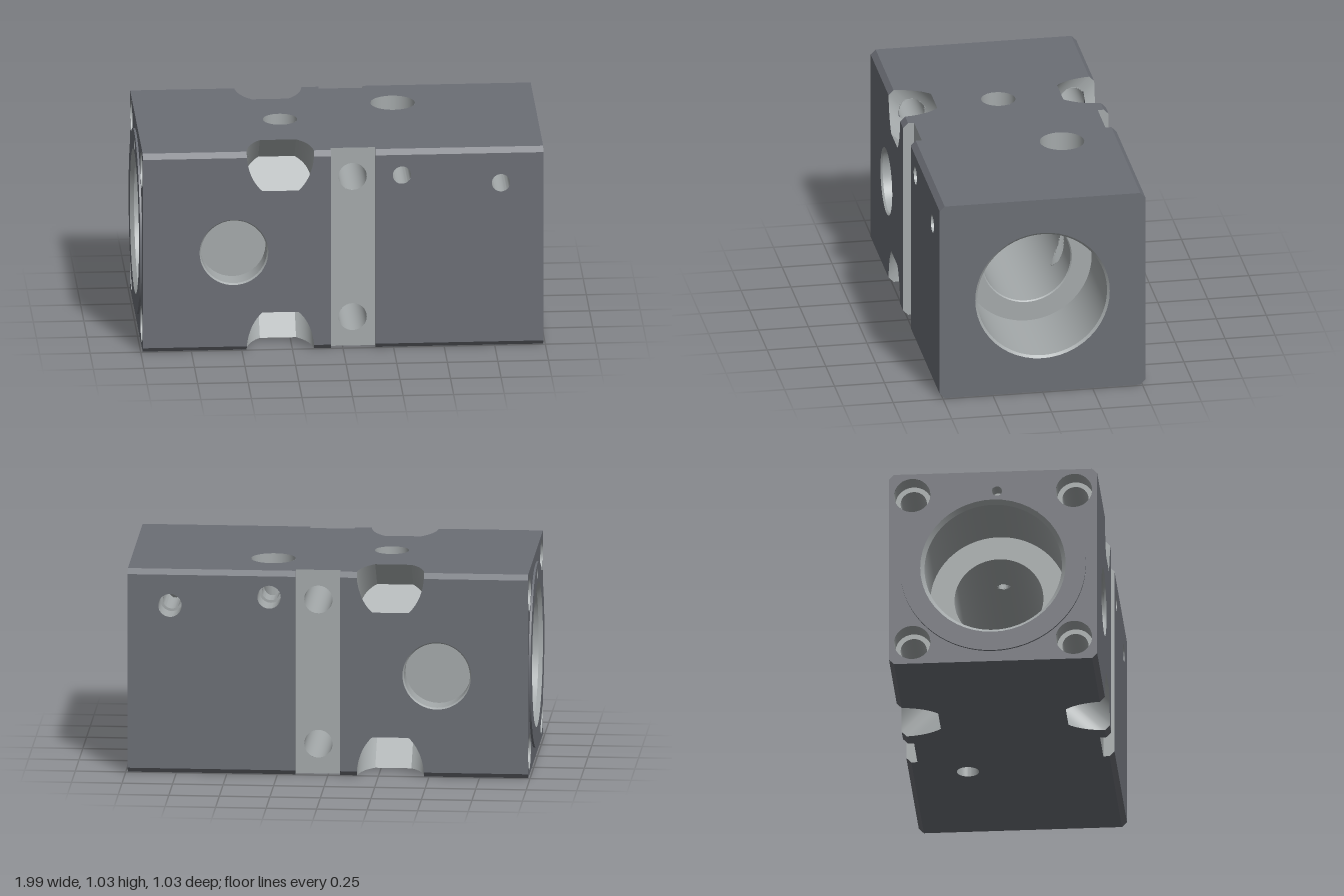
import * as THREE from 'three';
import { toCreasedNormals } from 'three/addons/utils/BufferGeometryUtils.js';

const H = 0.515, C = 0.025, X = 0.99;            // half section, edge chamfer, half length
const G0 = -0.06, G1 = 0.16, GD = 0.055;         // side groove
const PX = -0.31, PR = 0.167, PV = 0.141, PS = -0.325; // corner pocket
const R2 = Math.SQRT2;
const A0 = Math.asin(C / R2 / PR), A1 = Math.asin(PV / PR);
const STEP = 0.015;

const body = new THREE.MeshStandardMaterial({ color: 0x6b6e75, side: THREE.DoubleSide });
const cut = new THREE.MeshStandardMaterial({ color: 0xa4a9aa, side: THREE.DoubleSide });

const boreR = (x) => (x > 0.54 ? 0.325 : x > -0.6 ? 0.22 : 0.34);
const outsideBore = (p) => Math.hypot(p.y, p.z) > boreR(p.x) - 0.002;

export function createModel() {
  const model = new THREE.Group();
  model.name = 'machinedBlock';
  const root = new THREE.Group();
  root.name = 'block';
  root.position.y = H;
  model.add(root);

  const add = (name, geo, mat) => {
    const m = new THREE.Mesh(geo, mat);
    m.name = name;
    root.add(m);
  };

  // Flat panel: outline [a,b] with round holes [a,b,r], placed by map, facing n
  const panel = (name, pts, holes, map, n, mat = body) => {
    const shape = new THREE.Shape(pts.map((p) => new THREE.Vector2(p[0], p[1])));
    for (const [a, b, r] of holes) shape.holes.push(new THREE.Path().absarc(a, b, r, 0, Math.PI * 2, true));
    const geo = new THREE.ShapeGeometry(shape, 24);
    const pos = geo.attributes.position;
    for (let i = 0; i < pos.count; i++) pos.setXYZ(i, ...map(pos.getX(i), pos.getY(i)));
    geo.computeVertexNormals();
    const nor = geo.attributes.normal;
    if (nor.getX(0) * n[0] + nor.getY(0) * n[1] + nor.getZ(0) * n[2] < 0) {
      geo.index.array.reverse();
      geo.computeVertexNormals();
    }
    add(name, geo, mat);
  };

  // Drops the triangles whose centre fails the keep test
  const carve = (geo, keep) => {
    const p = geo.attributes.position, n = geo.attributes.normal, P = [], N = [];
    const c = new THREE.Vector3(), v = new THREE.Vector3();
    for (let i = 0; i < p.count; i += 3) {
      c.set(0, 0, 0);
      for (let k = 0; k < 3; k++) c.addScaledVector(v.fromBufferAttribute(p, i + k), 1 / 3);
      if (!keep(c)) continue;
      for (let k = i; k < i + 3; k++) {
        P.push(p.getX(k), p.getY(k), p.getZ(k));
        N.push(n.getX(k), n.getY(k), n.getZ(k));
      }
    }
    const out = new THREE.BufferGeometry();
    out.setAttribute('position', new THREE.Float32BufferAttribute(P, 3));
    out.setAttribute('normal', new THREE.Float32BufferAttribute(N, 3));
    return out;
  };

  // Stepped hole: profile [radius, depth] sunk at a point against the outward direction
  const hole = (name, at, dir, prof, keep, segs = 40) => {
    const pts = [];
    prof.forEach(([r, d], i) => {
      if (i && keep) {
        const [r0, d0] = prof[i - 1], n = Math.ceil((d - d0) / STEP);
        for (let k = 1; k < n; k++) pts.push(new THREE.Vector2(r0 + (r - r0) * k / n, -(d0 + (d - d0) * k / n)));
      }
      pts.push(new THREE.Vector2(r, -d));
    });
    let geo = new THREE.LatheGeometry(pts, segs);
    const q = new THREE.Quaternion().setFromUnitVectors(new THREE.Vector3(0, 1, 0), new THREE.Vector3(...dir));
    geo.applyQuaternion(q).translate(...at);
    geo = toCreasedNormals(geo, 0.6);
    add(name, keep ? carve(geo, keep) : geo, cut);
  };

  // Pocket outline on a face: [x, distance in from the corner edge]
  const notch = [];
  for (const s of [-1, 1]) {
    for (let i = 0; i <= 10; i++) {
      const a = A0 + (A1 - A0) * (s < 0 ? i : 10 - i) / 10;
      notch.push([PX + s * PR * Math.cos(a), R2 * PR * Math.sin(a)]);
    }
  }
  const mirrored = (edge) => [
    ...edge.map(([x, d]) => [x, d - H]),
    ...[...edge].reverse().map(([x, d]) => [x, H - d]),
  ];

  // Front and back faces with groove
  const leftEdge = mirrored([[-X, C], ...notch, [G0, C]]);
  const rightEdge = mirrored([[G1, C], [X, C]]);
  const groove = mirrored([[G0, 0], [G1, 0]]);
  for (const s of [1, -1]) {
    const side = s > 0 ? 'front' : 'back', n = [0, 0, s], r = s > 0 ? 0.045 : 0.058;
    const at = (z) => (a, b) => [a, b, s * z];
    panel(side + 'PortFace', leftEdge, [[-0.54, 0, 0.17]], at(H), n);
    panel(side + 'PlainFace', rightEdge, [[0.29, 0.385, r], [0.78, 0.335, r]], at(H), n);
    panel(side + 'GrooveFloor', groove, [[0.05, 0.365, 0.07], [0.05, -0.365, 0.07]], at(H - GD), n, cut);
    const wall = [[H - GD, -H], [H - C, -H], [H, C - H], [H, H - C], [H - C, H], [H - GD, H]];
    for (const x of [G0, G1]) panel(side + 'GrooveWall', wall, [], (a, b) => [x, b, s * a], [x === G0 ? 1 : -1, 0, 0], cut);
    hole(side + 'Port', [-0.54, 0, s * H], n, [[0.17, 0], [0.163, 0.01], [0.163, 0.12], [0, 0.12]], null, 64);
  }

  // Top and bottom faces
  const longEdge = mirrored([[-X, C], ...notch, [G0, C], [G0, GD], [G1, GD], [G1, C], [X, C]]);
  panel('topFace', longEdge, [[-0.28, 0, 0.085], [0.29, -0.22, 0.11]], (a, b) => [a, H, b], [0, 1, 0]);
  panel('bottomFace', longEdge, [[0.29, -0.22, 0.055]], (a, b) => [a, -H, b], [0, -1, 0]);

  // End faces and raised ring on the right end
  const K = H - C;
  const octagon = [[-K, -H], [K, -H], [H, -K], [H, K], [K, H], [-K, H], [-H, K], [-H, -K]];
  const corners = [[1, 1], [1, -1], [-1, -1], [-1, 1]];
  const ringOutline = [];
  for (let i = 0; i < 72; i++) ringOutline.push([0.46 * Math.cos(i * Math.PI / 36), 0.46 * Math.sin(i * Math.PI / 36)]);
  panel('leftEndFace', octagon, [[0, 0, 0.337]], (a, b) => [X, b, a], [1, 0, 0]);
  panel('rightEndFace', octagon, [[0, 0, 0.46], ...corners.map(([y, z]) => [0.4 * z, 0.4 * y, 0.09])],
    (a, b) => [-X, b, a], [-1, 0, 0]);
  panel('sealRing', ringOutline, [[0, 0, 0.36], [0.02, 0.405, 0.025]], (a, b) => [-1, b, a], [-1, 0, 0]);
  const rim = new THREE.CylinderGeometry(0.46, 0.46, 0.01, 72, 1, true).rotateZ(Math.PI / 2).translate(-0.995, 0, 0);
  add('sealRingEdge', rim, body);
  hole('pinHole', [-1, 0.405, 0.02], [-1, 0, 0], [[0.025, 0], [0.025, 0.08], [0, 0.08]], null, 20);

  // Main stepped bore, opened where cross holes meet it
  hole('mainBore', [X, 0, 0], [1, 0, 0],
    [[0.337, 0], [0.325, 0.012], [0.325, 0.45], [0.226, 0.45], [0.22, 0.456], [0.22, 1.59], [0.34, 1.59],
      [0.34, 1.97], [0.36, 1.99]],
    (p) => Math.hypot(p.x - 0.29, p.z + 0.22) > 0.055 && Math.hypot(p.x - 0.78, p.y - 0.335) > 0.045
      && !(p.y > 0 && Math.hypot(p.x + 0.28, p.z) < 0.03), 120);

  // Cross holes through the sides, top and bottom
  for (const y of [0.365, -0.365]) hole('grooveHole', [0.05, y, H - GD], [0, 0, 1], [[0.07, 0], [0.07, 2 * (H - GD)]]);
  for (const [x, y] of [[0.29, 0.385], [0.78, 0.335]]) {
    hole('crossHole', [x, y, H], [0, 0, 1], [[0.045, 0], [0.045, 0.9], [0.058, 0.9], [0.058, 1.03]], outsideBore);
  }
  hole('topCounterboredHole', [0.29, H, -0.22], [0, 1, 0],
    [[0.11, 0], [0.11, 0.1], [0.055, 0.1], [0.055, 1.03]], outsideBore);
  hole('topSmallHole', [-0.28, H, 0], [0, 1, 0], [[0.085, 0], [0.085, 0.12], [0.03, 0.12], [0.03, 0.31]], outsideBore);

  // Cross-section of a corner pocket: a circle with two flats
  const section = [];
  for (const s of [1, -1]) {
    for (const t of [-s, s]) {
      for (let i = 0; i <= 10; i++) {
        const a = t * (A0 + (A1 - A0) * (t === -s ? 10 - i : i) / 10);
        section.push([s * PR * Math.cos(a), PR * Math.sin(a)]);
      }
    }
  }

  for (const [sy, sz] of corners) {
    const place = (u, v, s) => [PX + u, sy * (H + (s + v) / R2), sz * (H + (s - v) / R2)];
    // Pocket walls run from the floor out to the block's skin
    const P = [], rows = 24;
    section.forEach(([u0, v0], i) => {
      const [u1, v1] = section[(i + 1) % section.length];
      const pt = (u, v, k) => place(u, v, PS + (Math.min(-Math.abs(v), -C / R2) - PS) * k / rows);
      for (let k = 0; k < rows; k++) {
        const a = pt(u0, v0, k), b = pt(u1, v1, k), c = pt(u1, v1, k + 1), d = pt(u0, v0, k + 1);
        P.push(...(sy * sz > 0 ? [a, c, b, a, d, c] : [a, b, c, a, c, d]).flat());
      }
    });
    const wall = new THREE.BufferGeometry();
    wall.setAttribute('position', new THREE.Float32BufferAttribute(P, 3));
    add('pocketWall', carve(toCreasedNormals(wall, 0.5),
      (p) => p.x > PX || Math.hypot(p.y - sy * 0.4, p.z - sz * 0.4) > 0.065), cut);
    panel('pocketFloor', section, [], (u, v) => place(u, v, PS), [0, sy, sz], cut);

    // Bolt hole from the end face into the pocket
    hole('boltHole', [-X, sy * 0.4, sz * 0.4], [-1, 0, 0], [[0.09, 0], [0.09, 0.1], [0.065, 0.1], [0.065, 0.55]],
      (p) => p.x < PX - Math.sqrt(PR * PR - (Math.abs(p.y) - Math.abs(p.z)) ** 2 / 2));

    // Chamfer strips along the long edge
    const w = PR * Math.cos(A0);
    for (const [x0, x1] of [[-X, PX - w], [PX + w, G0], [G1, X]]) {
      panel('edgeChamfer', [[x0, 0], [x1, 0], [x1, C], [x0, C]], [],
        (a, b) => [a, sy * (K + b), sz * (H - b)], [0, sy, sz]);
    }
  }
  return model;
}
